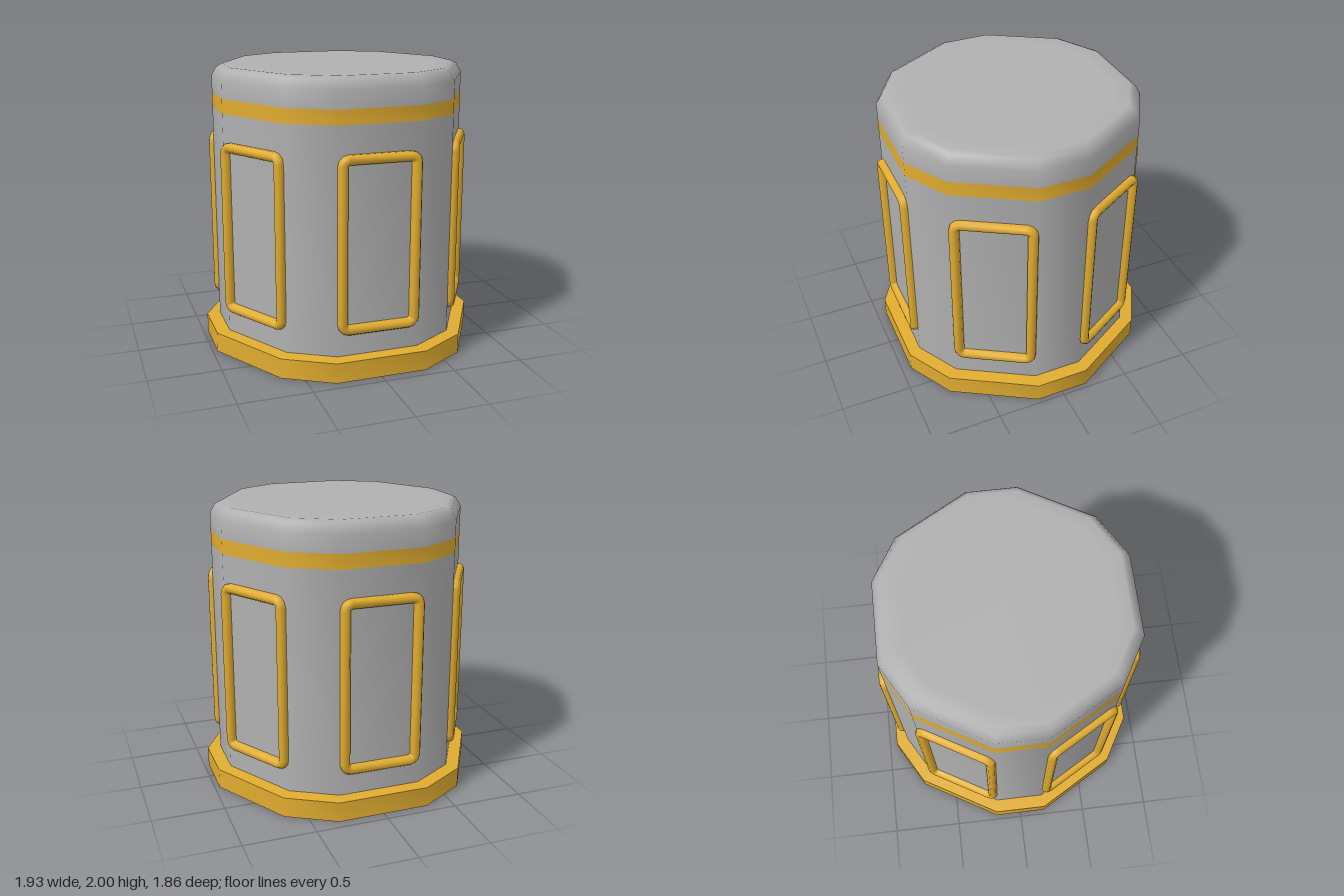
import * as THREE from 'three';

// Skin a list of closed rings of points with smooth normals
function loft(rings) {
  const n = rings[0].length;
  const index = [];
  for (let i = 0; i < rings.length - 1; i++) {
    for (let j = 0; j < n; j++) {
      const k = (j + 1) % n;
      const a = i * n + j, b = i * n + k, c = a + n, d = b + n;
      index.push(a, b, c, b, d, c);
    }
  }
  const g = new THREE.BufferGeometry().setFromPoints(rings.flat());
  g.setIndex(index);
  g.computeVertexNormals();
  return g;
}

// Twelve-sided ring: six wide faces with six narrow faces between them
function ring(halfWidth, apothem, y, scale = 1) {
  const points = [];
  for (let i = 0; i < 6; i++) {
    for (const s of [-1, 1]) {
      points.push(new THREE.Vector3(s * halfWidth * scale, y, apothem * scale)
        .applyAxisAngle(new THREE.Vector3(0, 1, 0), i * Math.PI / 3));
    }
  }
  return points;
}
const bodyRing = (y, scale) => ring(0.286, 0.845, y, scale);
const baseRing = (y) => ring(0.32, 0.932, y);

// Rounded rectangle, inset from the frame's outer edge and raised off the wall
function frameLoop(inset, height) {
  const w = 0.287 - inset, h = 0.607 - inset;
  const r = Math.max(0.075 - inset, 0.012);
  const points = [];
  for (let c = 0; c < 4; c++) {
    const sx = c === 0 || c === 3 ? 1 : -1, sy = c < 2 ? 1 : -1;
    for (let s = 0; s <= 3; s++) {
      const t = (c + s / 3) * Math.PI / 2;
      points.push(new THREE.Vector3(
        sx * (w - r) + r * Math.cos(t), sy * (h - r) + r * Math.sin(t), height));
    }
  }
  return points;
}

export function createModel() {
  const grey = new THREE.MeshStandardMaterial({ color: 0xb0b0b0, side: THREE.DoubleSide });
  grey.name = 'grey';
  const gold = new THREE.MeshStandardMaterial({ color: 0xe0ac30, side: THREE.DoubleSide });
  gold.name = 'gold';

  const model = new THREE.Group();
  model.name = 'canister';
  const add = (name, geometry, material) => {
    const mesh = new THREE.Mesh(geometry, material);
    mesh.name = name;
    model.add(mesh);
    return mesh;
  };

  // Open-bottomed base: outer wall and the ledge around the body
  add('baseWall', loft([baseRing(0), baseRing(0.14)]), gold);
  add('baseLedge', loft([baseRing(0.14), bodyRing(0.147)]), gold);

  // Body wall with a flush stripe
  add('bodyWall', loft([bodyRing(0.147), bodyRing(1.7)]), grey);
  add('stripe', loft([bodyRing(1.7), bodyRing(1.8)]), gold);

  // Cap with a soft bevelled rim
  add('cap', loft([
    bodyRing(1.8), bodyRing(1.92), bodyRing(1.98, 0.958),
    bodyRing(2, 0.914), bodyRing(2, 0.8), bodyRing(2, 0),
  ]), grey);

  // Raised rounded frame on each wide face
  const section = [[0, 0], [0, 0.022], [0.012, 0.04], [0.033, 0.048],
    [0.053, 0.04], [0.066, 0.022], [0.068, 0]];
  const frame = loft(section.map(([inset, height]) => frameLoop(inset, height)));
  frame.translate(0, 0.905, 0.843);
  for (let i = 0; i < 6; i++) {
    add('panelFrame' + (i + 1), frame, gold).rotation.y = i * Math.PI / 3;
  }
  return model;
}
